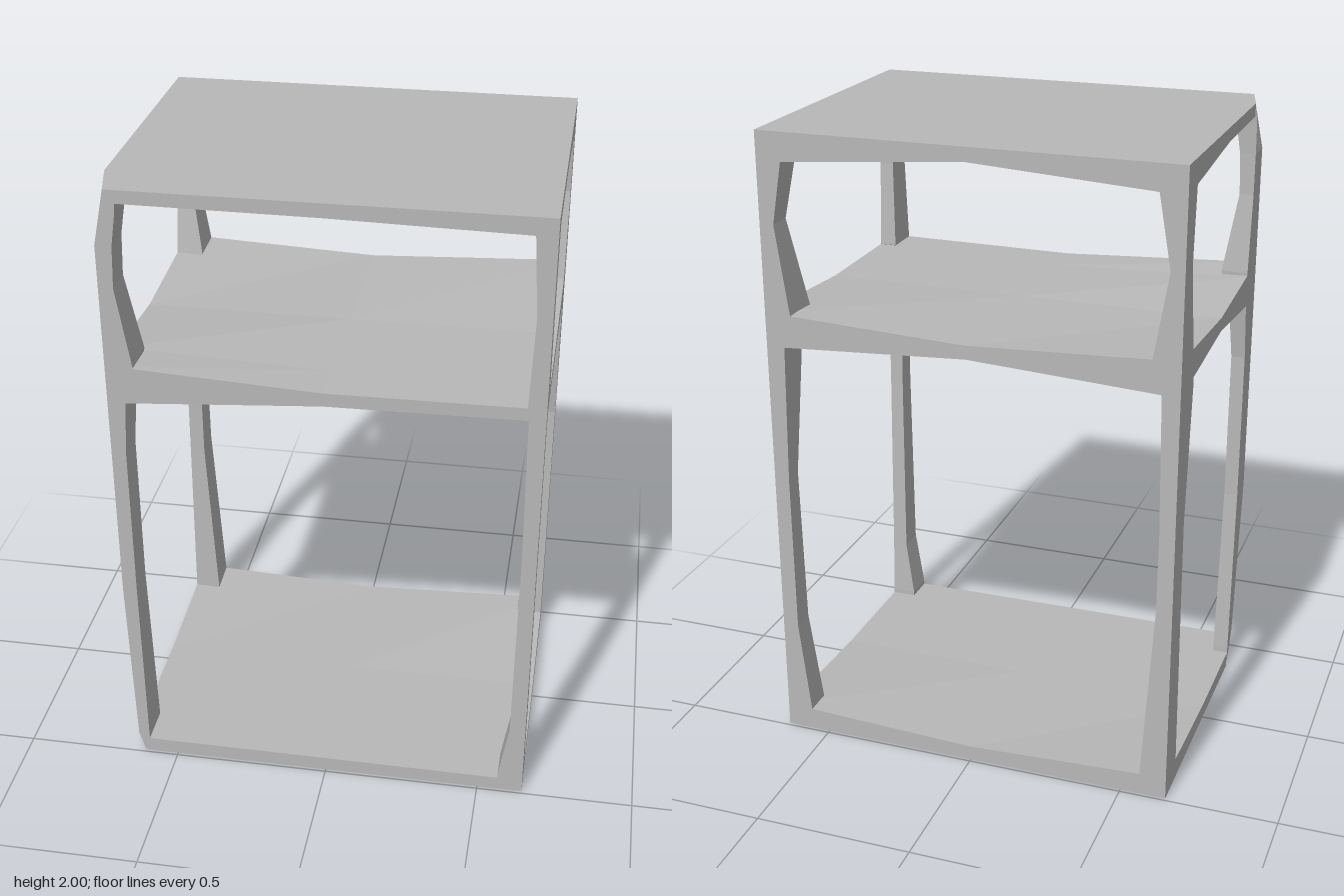
import * as THREE from 'three';

const W = 0.645, D = 0.49;
const ROWS = [-D, 0, 0.35, D]; // z rows of every shelf

// Corner order everywhere: front -x, front +x, back +x, back -x
const cornerOf = (x, z) => (z > 0 ? (x < 0 ? 0 : 1) : (x > 0 ? 2 : 3));

// Chipped front corner on the -x side, at the top and at the bottom
function chip(x, y, z) {
  if (x > -0.5) return x;
  const rise = Math.max((y - 1.83) / 0.17, (0.12 - y) / 0.12);
  const cut = rise > 0 ? Math.max(0, (z - 0.35) / 0.14 + rise - 1) : 0;
  return Math.max(x, -W + 0.035 * cut);
}

function faceted(geometry) {
  const g = geometry.index ? geometry.toNonIndexed() : geometry;
  g.computeVertexNormals();
  return g;
}

// Slab whose upper and lower faces bend from the centre to each corner
function shelfGeometry(top, bottom) {
  const g = new THREE.BoxGeometry(2 * W, 1, 2 * D, 2, 1, 3);
  const p = g.attributes.position;
  for (let i = 0; i < p.count; i++) {
    const x = p.getX(i);
    const z = ROWS[Math.round((p.getZ(i) / (2 * D) + 0.5) * 3)];
    const side = p.getY(i) > 0 ? top : bottom;
    const t = Math.abs(x / W) * Math.abs(z / D);
    const y = side.mid + (side.corners[cornerOf(x, z)] - side.mid) * t;
    p.setXYZ(i, chip(x, y, z), y, z);
  }
  return faceted(g);
}

// Four-sided post lofted through [y, x width, z width] sections
function postGeometry(sx, sz, sections) {
  const rings = sections.map(([y, wx, wz]) => {
    const xo = sx * W, xi = sx * (W - wx), zo = sz * D, zi = sz * (D - wz);
    return [[xo, zo], [xi, zo], [xi, zi], [xo, zi]].map(([x, z]) => [chip(x, y, z), y, z]);
  });
  const pos = [];
  const flip = sx * sz < 0;
  for (let i = 0; i < rings.length - 1; i++) {
    for (let k = 0; k < 4; k++) {
      const a = rings[i][k], b = rings[i][(k + 1) % 4];
      const c = rings[i + 1][(k + 1) % 4], d = rings[i + 1][k];
      const tris = flip ? [a, b, c, a, c, d] : [a, c, b, a, d, c];
      tris.forEach((v) => pos.push(...v));
    }
  }
  const g = new THREE.BufferGeometry();
  g.setAttribute('position', new THREE.Float32BufferAttribute(pos, 3));
  return faceted(g);
}

export function createModel() {
  const model = new THREE.Group();
  model.name = 'openShelfStand';
  const grey = new THREE.MeshStandardMaterial({ color: 0xb8b8b8 });
  grey.name = 'grey';

  const add = (name, geometry) => {
    const mesh = new THREE.Mesh(geometry, grey);
    mesh.name = name;
    model.add(mesh);
  };

  // Shelves
  const flat = (y) => ({ mid: y, corners: [y, y, y, y] });
  add('bottomShelf', shelfGeometry({ mid: 0.048, corners: [0.05, 0.045, 0.075, 0.075] }, flat(0)));
  add('middleShelf', shelfGeometry(
    { mid: 1.415, corners: [1.45, 1.42, 1.445, 1.445] },
    { mid: 1.372, corners: [1.325, 1.38, 1.335, 1.335] }));
  add('topShelf', shelfGeometry(flat(2), { mid: 1.957, corners: [1.96, 1.945, 1.905, 1.915] }));

  // Posts, flared where they meet the shelves
  add('frontRightPost', postGeometry(-1, 1, [
    [0.01, 0.05, 0.13], [0.07, 0.05, 0.13], [0.65, 0.045, 0.1], [1.15, 0.045, 0.1], [1.33, 0.055, 0.125],
    [1.45, 0.085, 0.13], [1.7, 0.045, 0.1], [1.83, 0.05, 0.1], [1.93, 0.065, 0.105], [1.99, 0.07, 0.11]]));
  add('frontLeftPost', postGeometry(1, 1, [
    [0.01, 0.08, 0.1], [0.06, 0.08, 0.1], [0.25, 0.05, 0.09], [0.9, 0.045, 0.07], [1.37, 0.05, 0.06],
    [1.42, 0.055, 0.12], [1.7, 0.045, 0.1], [1.93, 0.06, 0.1], [1.99, 0.065, 0.1]]));
  add('backLeftPost', postGeometry(1, -1, [
    [0.01, 0.085, 0.09], [0.07, 0.085, 0.09], [0.38, 0.05, 0.075], [0.9, 0.048, 0.062], [1.33, 0.058, 0.12],
    [1.43, 0.085, 0.135], [1.72, 0.045, 0.08], [1.92, 0.08, 0.1], [1.99, 0.085, 0.105]]));
  add('backRightPost', postGeometry(-1, -1, [
    [0.01, 0.085, 0.12], [0.07, 0.085, 0.12], [0.65, 0.05, 0.105], [0.9, 0.048, 0.1], [1.33, 0.055, 0.15],
    [1.44, 0.085, 0.13], [1.7, 0.042, 0.08], [1.92, 0.08, 0.1], [1.99, 0.085, 0.105]]));

  return model;
}
